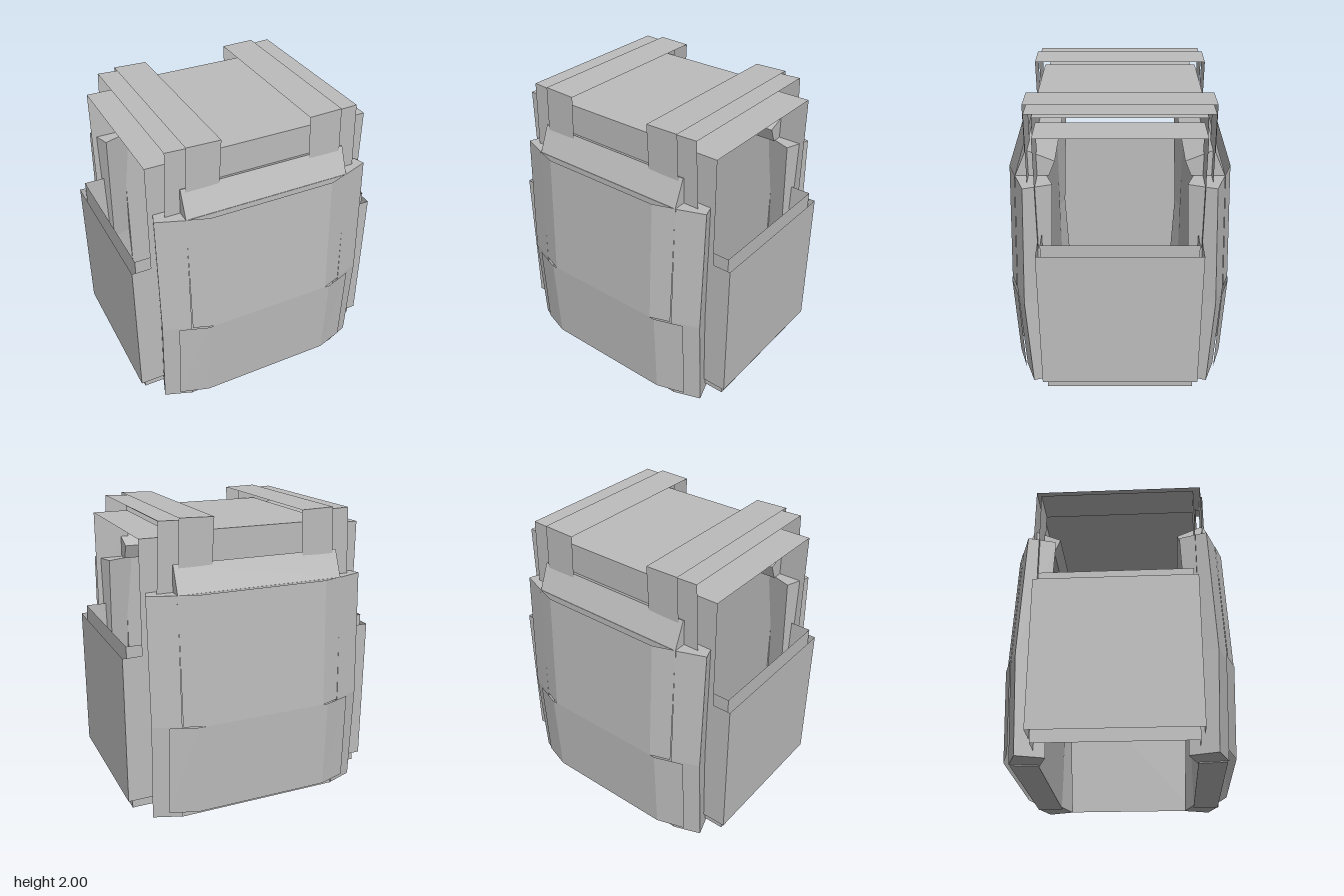
import * as THREE from 'three';

// Skin quads between successive rings of points; optionally close the rings and cap the ends
function loft(rings, closed = false) {
  const pos = [];
  const quad = (a, b, c, d) => pos.push(...a, ...b, ...c, ...a, ...c, ...d);
  for (let k = 0; k < rings.length - 1; k++) {
    const r = rings[k], s = rings[k + 1], n = r.length;
    for (let i = 0; i < (closed ? n : n - 1); i++) {
      const j = (i + 1) % n;
      quad(r[i], r[j], s[j], s[i]);
    }
  }
  if (closed) {
    quad(...[...rings[0]].reverse());
    quad(...rings[rings.length - 1]);
  }
  const g = new THREE.BufferGeometry();
  g.setAttribute('position', new THREE.Float32BufferAttribute(pos, 3));
  g.computeVertexNormals();
  return g;
}

const mirrorRing = ring => ring.map(([x, y, z]) => [-x, y, z]).reverse();

// Symmetric open row of points: wing, flat middle, wing
const row = (y, xMid, zMid, xEnd, zEnd) =>
  [[-xEnd, y, zEnd], [-xMid, y, zMid], [xMid, y, zMid], [xEnd, y, zEnd]];

export function createModel() {
  const model = new THREE.Group();
  model.name = 'armourVest';
  const grey = new THREE.MeshStandardMaterial({ color: 0xbcbcbc, side: THREE.DoubleSide });
  grey.name = 'grey';
  grey.flatShading = true;

  const add = (parent, name, geometry) => {
    const mesh = new THREE.Mesh(geometry, grey);
    mesh.name = name;
    parent.add(mesh);
  };

  // Band over the shoulder: front drop, top, back drop; x and y differ slightly at each edge
  const band = (z, inner, outer) => {
    const edge = ({ xTop, yTop, xLow, yLow }) =>
      [[xLow, yLow, z], [xTop, yTop, z], [xTop, yTop, -z], [xLow, yLow, -z]];
    return loft([edge(outer), edge(inner)]);
  };

  // Side wrap: front return, outer face, back return
  const wrap = (x, z, y0, y1) => loft([y0, y1].map(y =>
    [[0.66, y, z], [x, y, z], [x, y, -z], [0.66, y, -z]]));

  // One half: a chest plate, one shoulder and one side panel
  const half = (name) => {
    const g = new THREE.Group();
    g.name = name;

    // Angled corner blocks, bulging at mid height
    const corner = [[0.01, 0.008], [0.68, 0.038], [1.54, 0]].map(([y, dz]) =>
      [[0.575, y, 0.667 + dz], [0.76, y, 0.6 + dz], [0.70, y, 0.42 + dz], [0.515, y, 0.487 + dz]]);
    add(g, 'plateCornerLeft', loft(corner, true));
    add(g, 'plateCornerRight', loft(corner.map(mirrorRing), true));

    // Core block between the corners
    const core = [0.003, 1.54].map(y =>
      [[-0.58, y, 0.668], [0.58, y, 0.668], [0.56, y, 0.49], [-0.56, y, 0.49]]);
    add(g, 'plateCore', loft(core, true));

    // Faceted outer shell and lower pocket
    add(g, 'plateShell', loft([
      row(0.68, 0.435, 0.755, 0.57, 0.708),
      row(1.545, 0.435, 0.717, 0.577, 0.668)]));
    add(g, 'pocket', loft([
      row(0.053, 0.47, 0.73, 0.665, 0.668),
      row(0.68, 0.47, 0.755, 0.66, 0.69)]));

    // Tilted collar above the plate
    const collar = x => [[x, 1.54, 0.665], [x, 1.717, 0.59], [x, 1.64, 0.41], [x, 1.54, 0.45]];
    add(g, 'collar', loft([collar(0.575), collar(-0.575)], true));

    // Layered shoulder bands
    add(g, 'shoulderStrap', band(0.6,
      { xTop: 0.305, yTop: 1.994, xLow: 0.318, yLow: 1.697 },
      { xTop: 0.535, yTop: 2, xLow: 0.547, yLow: 1.69 }));
    add(g, 'shoulderPad', band(0.58,
      { xTop: 0.4, yTop: 1.978, xLow: 0.42, yLow: 1.54 },
      { xTop: 0.662, yTop: 1.988, xLow: 0.68, yLow: 1.54 }));
    add(g, 'shoulderLining', band(0.525,
      { xTop: 0.52, yTop: 1.878, xLow: 0.52, yLow: 1.1 },
      { xTop: 0.77, yTop: 1.878, xLow: 0.77, yLow: 1.1 }));

    // Side panel in two layers
    add(g, 'sidePanelInner', wrap(0.865, 0.5, 0.05, 1.2));
    add(g, 'sidePanelOuter', wrap(0.9, 0.53, 0.12, 1.135));
    return g;
  };

  const front = half('frontHalf');
  const back = half('backHalf');
  back.rotation.y = Math.PI;
  model.add(front, back);

  // Centre cover between the straps
  const side = x => ({ xTop: x, yTop: 1.907, xLow: x, yLow: 1.56 });
  add(model, 'centreCover', band(0.55, side(-0.52), side(0.52)));

  return model;
}
